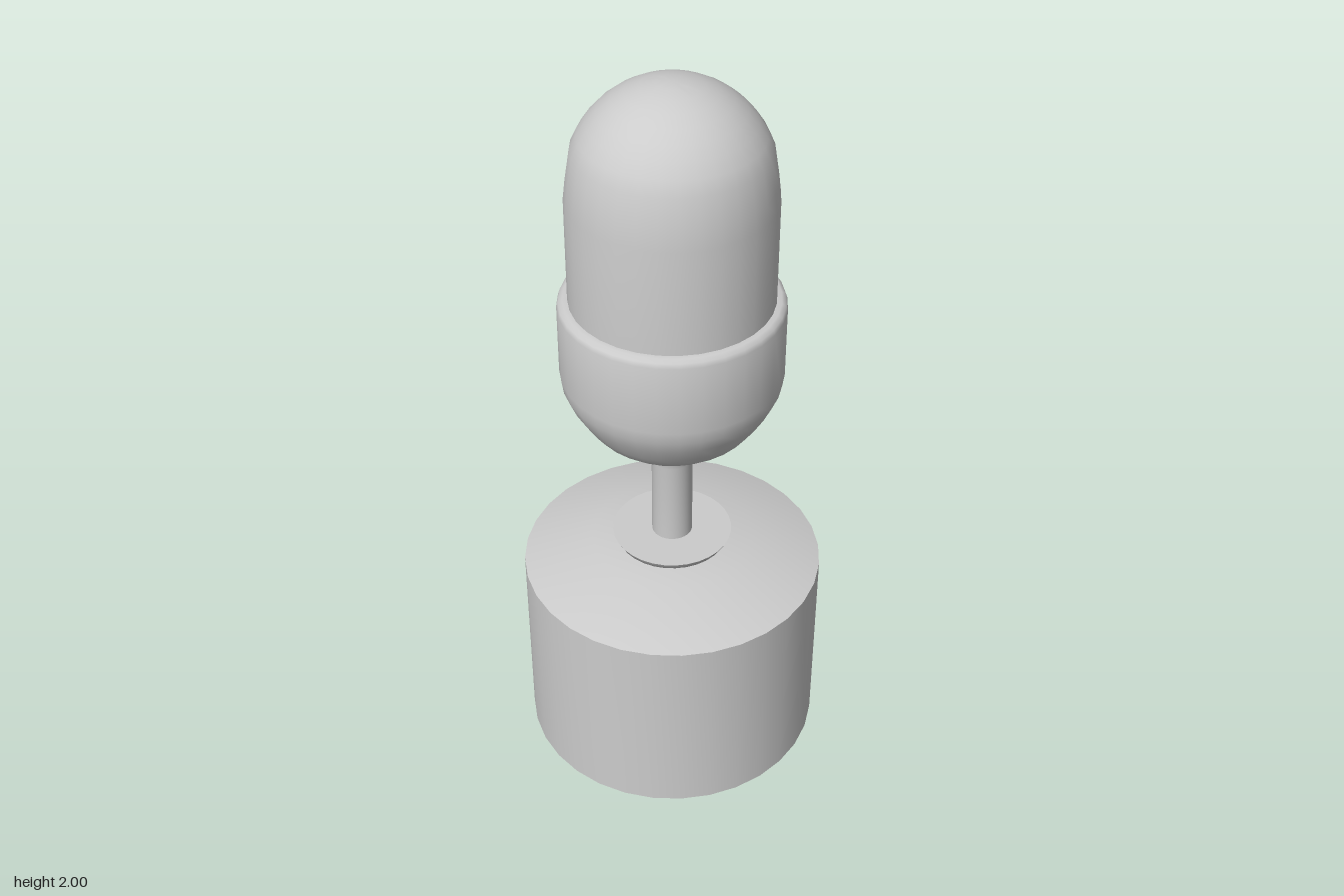
import * as THREE from 'three';
import { toCreasedNormals } from 'three/addons/utils/BufferGeometryUtils.js';

const SIDES = 32;
const material = new THREE.MeshStandardMaterial({ color: 0xcccccc, side: THREE.DoubleSide });

// Turn a [radius, height] profile, listed bottom to top, around the y axis.
function turned(name, profile, crease = 0.6) {
  const points = profile.map(([r, y]) => new THREE.Vector2(r, y));
  const geometry = toCreasedNormals(new THREE.LatheGeometry(points, SIDES), crease);
  const mesh = new THREE.Mesh(geometry, material);
  mesh.name = name;
  return mesh;
}

export function createModel() {
  const model = new THREE.Group();
  model.name = 'microphone';

  // Drum base, open underneath, with a shallow sloped top
  model.add(turned('base', [[0.41, 0], [0.41, 0.563], [0.22, 0.627], [0, 0.627]]));

  // Flared collar where the stem meets the base
  model.add(turned('collar', [[0.14, 0.627], [0.152, 0.636], [0.163, 0.656], [0, 0.656]]));

  // Thin stem widening under the cup
  model.add(turned('stem', [
    [0.055, 0.65], [0.055, 0.9], [0.06, 0.93], [0.075, 0.958], [0.102, 0.992],
  ]));

  // Rounded cup with a bevelled rim
  model.add(turned('cup', [
    [0, 0.99], [0.11, 0.99], [0.15, 0.997], [0.185, 1.017], [0.215, 1.043],
    [0.24, 1.077], [0.268, 1.125], [0.285, 1.165], [0.29, 1.2],
    [0.29, 1.395], [0.286, 1.408], [0.275, 1.415], [0.255, 1.415],
  ], 0.75));

  // Domed head
  const dome = [[0.262, 1.39], [0.262, 1.7], [0.256, 1.75]];
  for (let i = 0; i <= 8; i++) {
    const a = (0.23 + (1 - 0.23) * (i / 8)) * Math.PI / 2;
    dome.push([i === 8 ? 0 : 0.26 * Math.cos(a), 1.74 + 0.26 * Math.sin(a)]);
  }
  model.add(turned('head', dome));

  return model;
}
